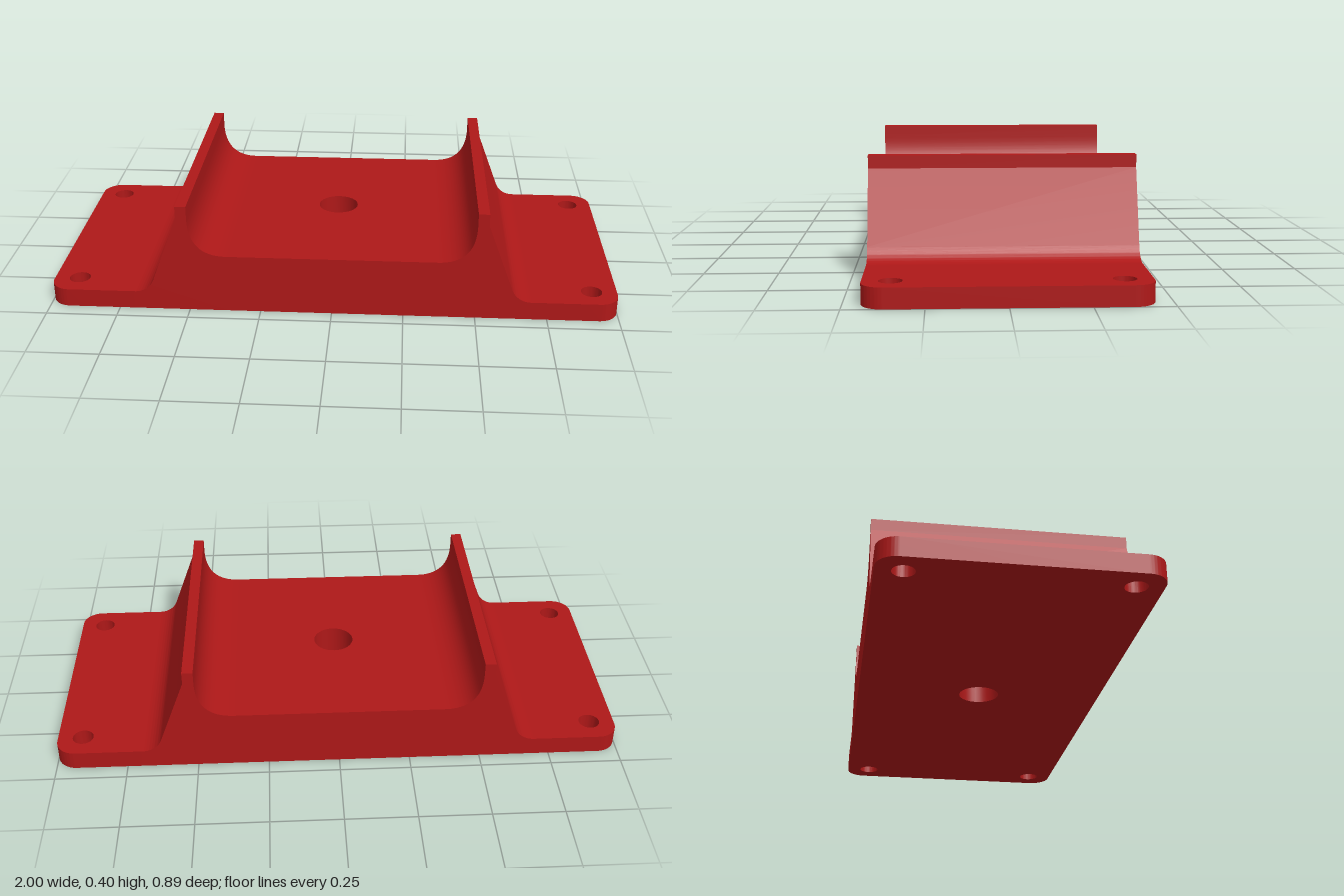
import * as THREE from 'three';
import { toCreasedNormals } from 'three/addons/utils/BufferGeometryUtils.js';

const HALF_DEPTH = 0.444;
const PAD_TOP = 0.066;      // mounting flange thickness
const SADDLE_TOP = 0.213;   // height of the central bed
const WALL_TOP = 0.4;
const WALL_INNER = 0.495;
const WALL_OUTER = 0.533;
const BED_EDGE = 0.365;     // x where the bed meets the wall fillet
const PAD_EDGE = 0.693;     // x where the foot fillet meets the flange
const SEAMS = [-BED_EDGE, BED_EDGE, PAD_EDGE];

const material = new THREE.MeshStandardMaterial({ color: 0xae1818 });

function extrude(shape, depth) {
  return new THREE.ExtrudeGeometry(shape, { depth, bevelEnabled: false, curveSegments: 16 });
}

function addHole(shape, x, y, radius) {
  const hole = new THREE.Path();
  hole.absarc(x, y, radius, 0, Math.PI * 2, true);
  shape.holes.push(hole);
}

// Drop the walls hidden inside the solid where two parts join, then smooth the curves.
function finish(geometry) {
  const p = geometry.attributes.position;
  const kept = [];
  for (let i = 0; i < p.count; i += 3) {
    const hidden = SEAMS.some((s) => [0, 1, 2].every((k) => Math.abs(p.getX(i + k) - s) < 1e-4));
    if (hidden) continue;
    for (let k = 0; k < 3; k++) kept.push(p.getX(i + k), p.getY(i + k), p.getZ(i + k));
  }
  const out = new THREE.BufferGeometry();
  out.setAttribute('position', new THREE.Float32BufferAttribute(kept, 3));
  return toCreasedNormals(out, 0.3);
}

// Central bed with its through hole, extruded upward
function bedGeometry() {
  const s = new THREE.Shape();
  s.moveTo(-BED_EDGE, -HALF_DEPTH);
  s.lineTo(BED_EDGE, -HALF_DEPTH);
  s.lineTo(BED_EDGE, HALF_DEPTH);
  s.lineTo(-BED_EDGE, HALF_DEPTH);
  s.closePath();
  addHole(s, 0, 0, 0.072);
  return finish(extrude(s, SADDLE_TOP).rotateX(-Math.PI / 2));
}

// Upright wall with an inner fillet, sloped outer face and foot fillet, extruded along z
function wallGeometry() {
  const foot = 0.073;
  const s = new THREE.Shape();
  s.moveTo(BED_EDGE, 0);
  s.lineTo(PAD_EDGE, 0);
  s.lineTo(PAD_EDGE, PAD_TOP);
  s.absarc(PAD_EDGE, PAD_TOP + foot, foot, Math.PI * 1.5, Math.PI + 0.375, true);
  s.lineTo(WALL_OUTER, 0.357);
  s.lineTo(WALL_OUTER, WALL_TOP);
  s.lineTo(WALL_INNER, WALL_TOP);
  s.lineTo(WALL_INNER, 0.355);
  s.quadraticCurveTo(WALL_INNER, SADDLE_TOP, BED_EDGE, SADDLE_TOP);
  s.closePath();
  return finish(extrude(s, HALF_DEPTH * 2).translate(0, 0, -HALF_DEPTH));
}

// End flange with rounded outer corners and two bolt holes, extruded upward
function flangeGeometry() {
  const r = 0.07;
  const s = new THREE.Shape();
  s.moveTo(PAD_EDGE, -HALF_DEPTH);
  s.lineTo(1 - r, -HALF_DEPTH);
  s.absarc(1 - r, -HALF_DEPTH + r, r, -Math.PI / 2, 0, false);
  s.lineTo(1, HALF_DEPTH - r);
  s.absarc(1 - r, HALF_DEPTH - r, r, 0, Math.PI / 2, false);
  s.lineTo(PAD_EDGE, HALF_DEPTH);
  s.closePath();
  for (const side of [-1, 1]) addHole(s, 0.911, side * 0.355, 0.037);
  return finish(extrude(s, PAD_TOP).rotateX(-Math.PI / 2));
}

export function createModel() {
  const model = new THREE.Group();
  model.name = 'saddleBracket';

  const add = (name, geometry, turn = 0) => {
    const mesh = new THREE.Mesh(geometry, material);
    mesh.name = name;
    mesh.rotation.y = turn;
    model.add(mesh);
  };

  add('saddleBed', bedGeometry());
  const wall = wallGeometry();
  const flange = flangeGeometry();
  // The bracket is symmetric front to back, so a half turn makes the other end
  for (const [side, turn] of [['left', 0], ['right', Math.PI]]) {
    add(side + 'Wall', wall, turn);
    add(side + 'Flange', flange, turn);
  }
  return model;
}
